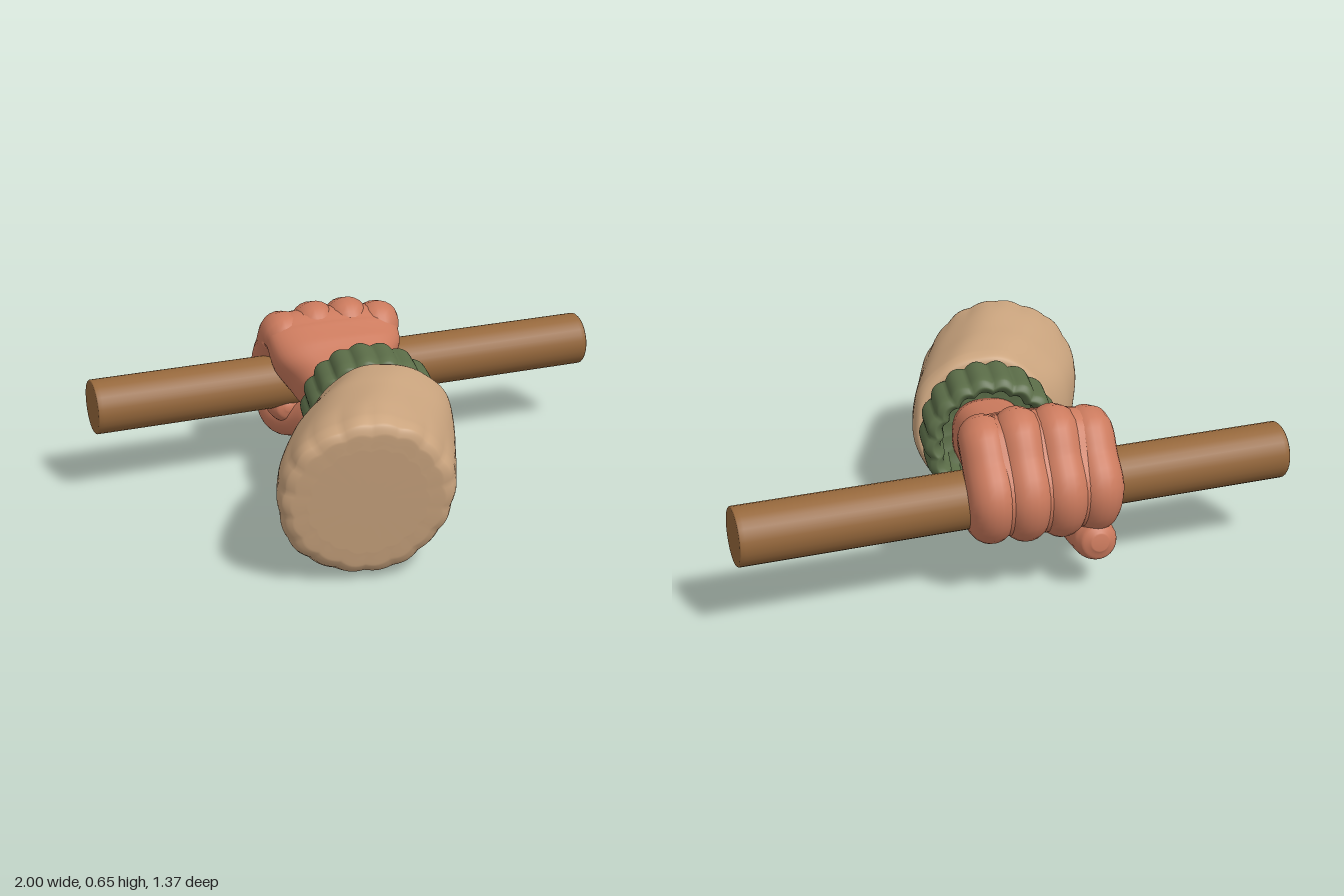
import * as THREE from 'three';

const mat = (name, color) => Object.assign(new THREE.MeshStandardMaterial({ color }), { name });

// Smooth closed sweep. Each point is [x, y, z, halfWidth, halfHeight].
// axis fixes the section plane, square < 1 makes sections boxier, bump(t, a) scales the radius.
function sweep(points, { axis, sides = 28, steps = 40, square = 1, bump = () => 1 } = {}) {
  const path = new THREE.CatmullRomCurve3(points.map(p => new THREE.Vector3(p[0], p[1], p[2])));
  const size = new THREE.CatmullRomCurve3(points.map(p => new THREE.Vector3(p[3], p[4] ?? p[3], 0)), false, 'catmullrom', 0.35);
  const pos = [], index = [];
  const soft = s => Math.sign(s) * Math.pow(Math.abs(s), square);
  for (let i = 0; i <= steps; i++) {
    const t = i / steps, c = path.getPoint(t), r = size.getPoint(t);
    const w = axis ? new THREE.Vector3(...axis).normalize() : path.getTangent(t);
    const u = new THREE.Vector3(1, 0, 0).addScaledVector(w, -w.x).normalize();
    const v = new THREE.Vector3().crossVectors(w, u);
    for (let j = 0; j < sides; j++) {
      const a = j / sides * Math.PI * 2, k = bump(t, a);
      const p = c.clone().addScaledVector(u, soft(Math.cos(a)) * r.x * k).addScaledVector(v, soft(Math.sin(a)) * r.y * k);
      pos.push(p.x, p.y, p.z);
    }
  }
  for (let i = 0; i < steps; i++) for (let j = 0; j < sides; j++) {
    const n = (j + 1) % sides, a = i * sides + j, b = i * sides + n;
    index.push(a, b, b + sides, a, b + sides, a + sides);
  }
  // end caps
  const first = pos.length / 3, last = first + 1, row = steps * sides;
  for (const t of [0, 1]) pos.push(...path.getPoint(t).toArray());
  for (let j = 0; j < sides; j++) {
    const n = (j + 1) % sides;
    index.push(first, n, j, last, row + j, row + n);
  }
  const geo = new THREE.BufferGeometry();
  geo.setAttribute('position', new THREE.Float32BufferAttribute(pos, 3));
  geo.setIndex(index);
  geo.computeVertexNormals();
  return geo;
}

export function createModel() {
  const model = new THREE.Group();
  model.name = 'handGrippingRod';
  const wood = mat('wood', 0x96683c), skin = mat('skin', 0xcb7a5d);
  const cloth = mat('sleeveCloth', 0xcaa47e), knit = mat('cuffKnit', 0x5b6d48);
  const add = (parent, name, geo, material) => {
    const m = new THREE.Mesh(geo, material);
    m.name = name;
    parent.add(m);
    return m;
  };

  // rod with softly shaded ends
  const h = 0.996, r = 0.102;
  const profile = [[0, -h], [r - 0.004, -h], [r, -h + 0.004], [r, -h + 0.02], [r, h - 0.02], [r, h - 0.004], [r - 0.004, h], [0, h]];
  const rod = add(model, 'rod', new THREE.LatheGeometry(profile.map(p => new THREE.Vector2(...p)), 28), wood);
  rod.position.set(0, 0.35, -0.47);
  rod.rotation.set(0, 0.07, -Math.PI / 2);

  // sleeve with a gathered, scalloped front rim and soft folds
  add(model, 'sleeve', sweep([
    [-0.254, 0.322, 0.642, 0.2], [-0.254, 0.322, 0.639, 0.258], [-0.252, 0.322, 0.622, 0.288, 0.29],
    [-0.24, 0.318, 0.57, 0.304, 0.31], [-0.203, 0.316, 0.46, 0.308, 0.318], [-0.127, 0.332, 0.28, 0.297, 0.296],
    [-0.052, 0.348, 0.13, 0.268, 0.27], [-0.045, 0.35, 0.088, 0.248], [-0.043, 0.35, 0.08, 0.15]
  ], {
    axis: [0.13, 0.15, -1], sides: 144, steps: 64,
    bump: (t, a) => 1 + 0.05 * (Math.abs(Math.cos(9 * a)) - 0.6) * Math.max(0, 1 - 1.9 * t)
      + 0.01 * Math.sin(5 * a + 6 * t) + 0.006 * Math.sin(9 * a - 8 * t)
  }), cloth);

  // hollow ribbed cuff
  add(model, 'cuff', sweep([
    [-0.05, 0.36, 0.078, 0.16], [-0.051, 0.36, 0.083, 0.215], [-0.049, 0.36, 0.07, 0.239], [-0.042, 0.36, 0.035, 0.248],
    [-0.026, 0.361, -0.08, 0.247], [-0.022, 0.362, -0.11, 0.241], [-0.02, 0.362, -0.127, 0.217],
    [-0.022, 0.362, -0.11, 0.195], [-0.026, 0.361, -0.08, 0.186], [-0.045, 0.36, 0.05, 0.18]
  ], {
    axis: [0.2, 0.12, -0.97], sides: 180, steps: 45,
    bump: (t, a) => 1 + 0.065 * (Math.abs(Math.cos(9 * a)) - 0.62)
  }), knit);

  const hand = new THREE.Group();
  hand.name = 'hand';
  model.add(hand);

  // wrist, back of the hand and the fist body bending around the rod
  add(hand, 'palm', sweep([
    [-0.04, 0.34, 0.06, 0.13], [-0.04, 0.345, -0.1, 0.138], [-0.045, 0.357, -0.19, 0.15, 0.135],
    [-0.06, 0.408, -0.28, 0.2, 0.143], [-0.067, 0.47, -0.35, 0.247, 0.125], [-0.067, 0.525, -0.41, 0.255, 0.095],
    [-0.067, 0.553, -0.455, 0.253, 0.074], [-0.067, 0.474, -0.526, 0.255, 0.07], [-0.067, 0.385, -0.588, 0.255, 0.07],
    [-0.067, 0.3, -0.57, 0.25, 0.06], [-0.067, 0.262, -0.5, 0.23, 0.045], [-0.067, 0.265, -0.44, 0.2, 0.02]
  ], { sides: 48, steps: 70, square: 0.75 }), skin);

  // four fingers curled over, behind and under the rod: [x, knuckle drop, z shift]
  [[-0.252, 0.028, 0.008], [-0.127, 0.004, -0.003], [0.001, 0, -0.002], [0.119, 0.022, 0.014]].forEach(([x, drop, dz], i) => {
    add(hand, 'finger' + (i + 1), sweep([
      [x * 0.85, 0.445 - drop, -0.32, 0.03], [x * 0.94, 0.525 - drop, -0.4, 0.07], [x, 0.572 - drop, -0.455, 0.084],
      [x, 0.478 - drop * 0.5, -0.528, 0.086], [x, 0.385, -0.592, 0.087], [x, 0.3, -0.573, 0.08], [x, 0.262, -0.5, 0.07],
      [x, 0.258, -0.43, 0.065], [x, 0.262, -0.395, 0.045], [x, 0.264, -0.38, 0.012]
    ].map(([px, y, z, s]) => [px, y, z + dz, s]), { sides: 22, steps: 50 }), skin);
  });

  // thumb running under the rod
  add(hand, 'thumb', sweep([
    [-0.03, 0.34, -0.12, 0.08], [-0.08, 0.285, -0.23, 0.105], [-0.15, 0.23, -0.33, 0.09], [-0.21, 0.195, -0.42, 0.066],
    [-0.24, 0.178, -0.51, 0.072], [-0.245, 0.186, -0.58, 0.076, 0.072], [-0.245, 0.195, -0.618, 0.062], [-0.245, 0.198, -0.638, 0.03]
  ], { sides: 22 }), skin);

  return model;
}
